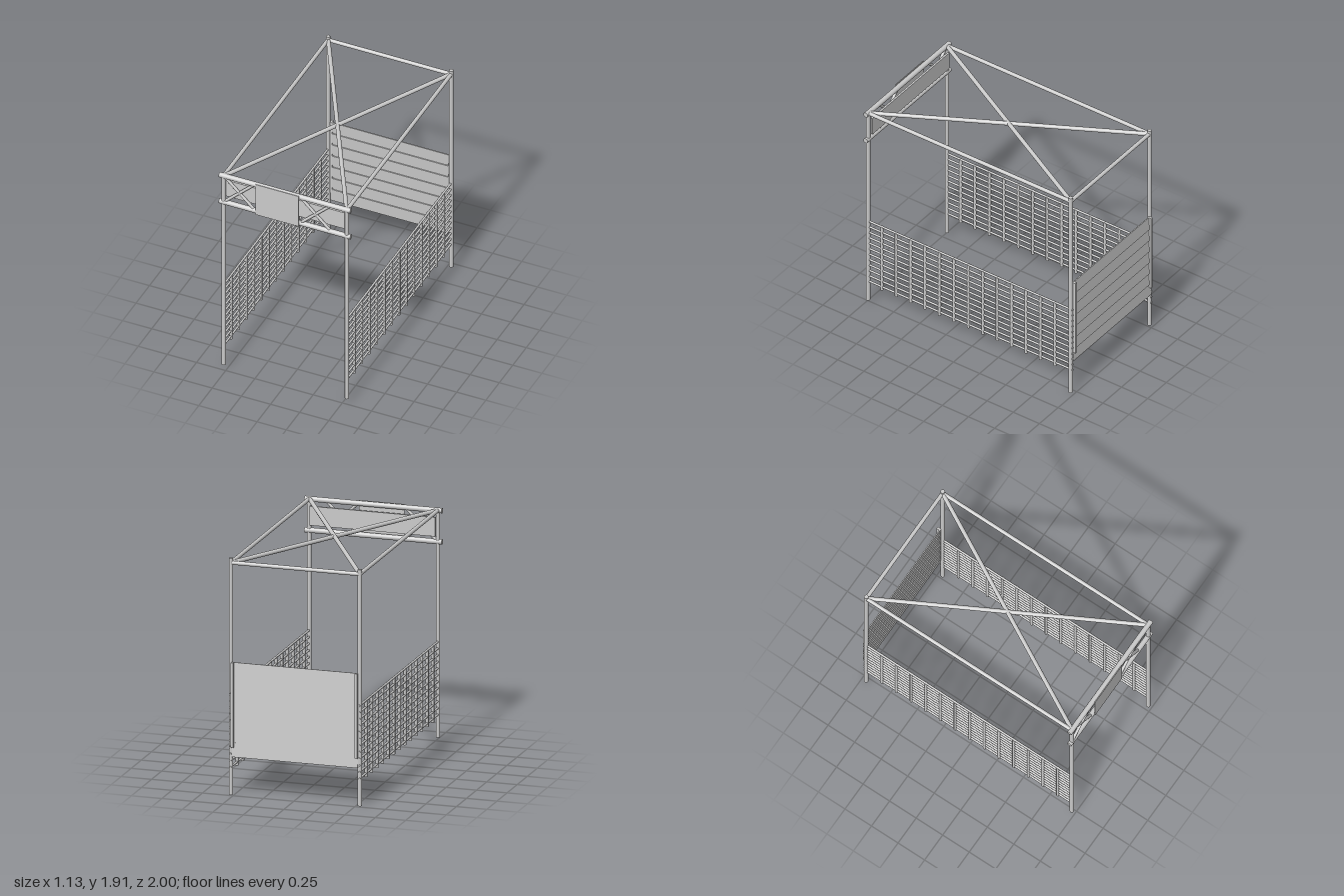
import * as THREE from 'three';

const material = new THREE.MeshStandardMaterial({ color: 0xcccccc });

export function createModel() {
  const model = new THREE.Group();
  model.name = 'timberFrameStall';

  // Round pole between two points
  function pole(name, a, b, radius, parent = model, sides = 16) {
    const start = new THREE.Vector3(...a), end = new THREE.Vector3(...b);
    const dir = end.clone().sub(start);
    const mesh = new THREE.Mesh(new THREE.CylinderGeometry(radius, radius, dir.length(), sides), material);
    mesh.name = name;
    mesh.position.copy(start).add(end).multiplyScalar(0.5);
    mesh.quaternion.setFromUnitVectors(new THREE.Vector3(0, 1, 0), dir.normalize());
    parent.add(mesh);
    return mesh;
  }

  // Flat board given by its centre and size
  function board(name, size, position, parent = model) {
    const mesh = new THREE.Mesh(new THREE.BoxGeometry(...size), material);
    mesh.name = name;
    mesh.position.set(...position);
    parent.add(mesh);
    return mesh;
  }

  const postX = 0.528, frontZ = 0.975, backZ = -0.962, roofY = 1.873;

  // Posts, side rails and lattice fences, mirrored left and right
  for (const side of [-1, 1]) {
    const x = side * postX;
    pole('frontPost', [x, 0.04, frontZ], [x, roofY, frontZ], 0.017);
    pole('backPost', [x, 0, backZ], [x, 1.91, backZ], 0.017);
    pole('roofSideRail', [x, roofY, backZ], [x, roofY, frontZ], 0.016);

    const fence = new THREE.Group();
    fence.name = 'latticeFence';
    model.add(fence);
    for (let i = 0; i < 12; i++) {
      const y = 0.224 + i * 0.0535;
      pole('fenceRail', [x, y, -0.983], [x, y, 0.975], 0.009, fence, 10);
    }
    for (let i = 0; i < 13; i++) {
      const z = 0.843 - i * 0.138;
      pole('fenceUpright', [x, 0.195, z], [x, 0.815, z], 0.013, fence, 10);
    }
  }

  // Roof: back rail and crossed diagonals
  pole('roofBackRail', [-postX, roofY, backZ], [postX, roofY, backZ], 0.016);
  for (const side of [-1, 1]) {
    pole('roofDiagonal', [-side * 0.52, roofY, -0.95], [side * 0.52, roofY, 0.965], 0.017);
  }

  // Front header: two beams, braces, sign board and backing board
  const header = new THREE.Group();
  header.name = 'frontHeader';
  model.add(header);
  for (const y of [roofY, 1.62]) {
    pole('headerBeam', [-0.563, y, frontZ], [0.563, y, frontZ], 0.021, header, 20);
  }
  for (const x of [-0.393, 0.26]) {
    for (const side of [-1, 1]) {
      pole('headerBrace', [x - side * 0.118, 1.635, frontZ], [x + side * 0.118, 1.858, frontZ], 0.012, header, 12);
    }
  }
  board('signBoard', [0.37, 0.292, 0.006], [-0.06, 1.746, 0.997], header);
  board('headerBackingBoard', [1.03, 0.155, 0.016], [0, 1.745, 0.951], header);

  // Back wall: overlapping planks leaning outward at the bottom
  const wall = new THREE.Group();
  wall.name = 'backWall';
  model.add(wall);
  const planks = 7, pitch = 0.1086;
  for (let i = 0; i < planks; i++) {
    const y = 0.31 + (i + 0.5) * pitch;
    const plank = board('wallPlank', [1.036, pitch + 0.004, 0.009], [0, y, -0.976], wall);
    plank.rotation.x = 0.07;
    if (i === 0) continue;
    for (const x of [-0.486, 0.486]) {
      pole('nail', [x, y - 0.05, -0.969], [x, y - 0.05, -0.985], 0.003, wall, 6);
    }
  }

  // Vertical battens holding the wall planks
  for (const x of [-0.508, 0.508]) {
    board('wallBatten', [0.02, 0.685, 0.035], [x, 0.73, -0.9825], wall);
  }

  return model;
}
